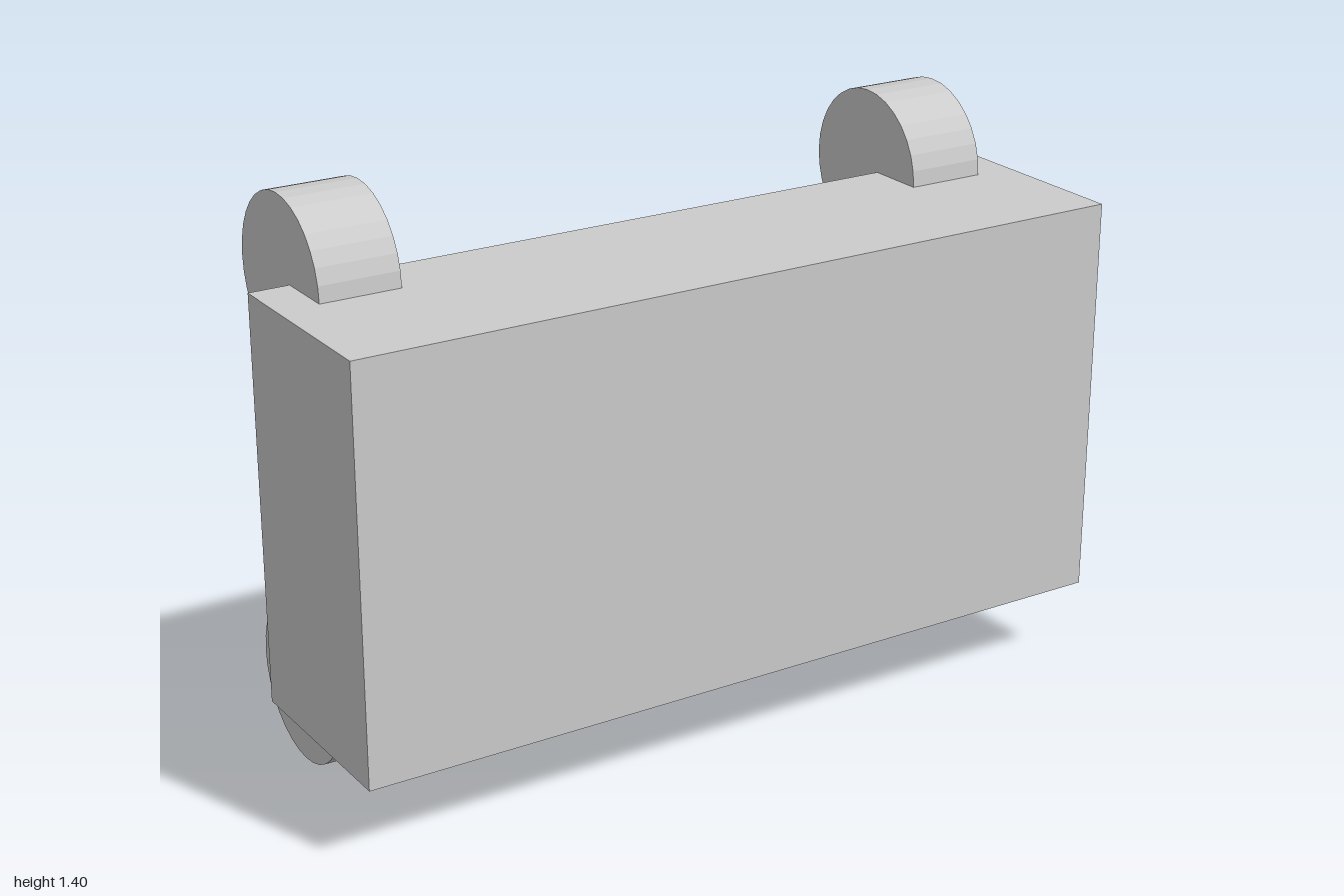
import * as THREE from 'three';

export function createModel() {
  const model = new THREE.Group();
  const material = new THREE.MeshStandardMaterial({ color: 0xcccccc, flatShading: true });

  // Block body
  const body = new THREE.Mesh(new THREE.BoxGeometry(2, 1, 0.5), material);
  body.name = 'body';
  body.position.set(0, 0.7, 0.125);
  model.add(body);

  // Four wheels centred on the body's upper and lower edges, axles along x
  const wheelGeometry = new THREE.CylinderGeometry(0.2, 0.2, 0.2, 32).rotateZ(Math.PI / 2);
  for (const [side, x] of [['left', 0.8], ['right', -0.8]]) {
    for (const [level, y] of [['Lower', 0.2], ['Upper', 1.2]]) {
      const wheel = new THREE.Mesh(wheelGeometry, material);
      wheel.name = `${side}${level}Wheel`;
      wheel.position.set(x, y, -0.175);
      model.add(wheel);
    }
  }
  return model;
}
